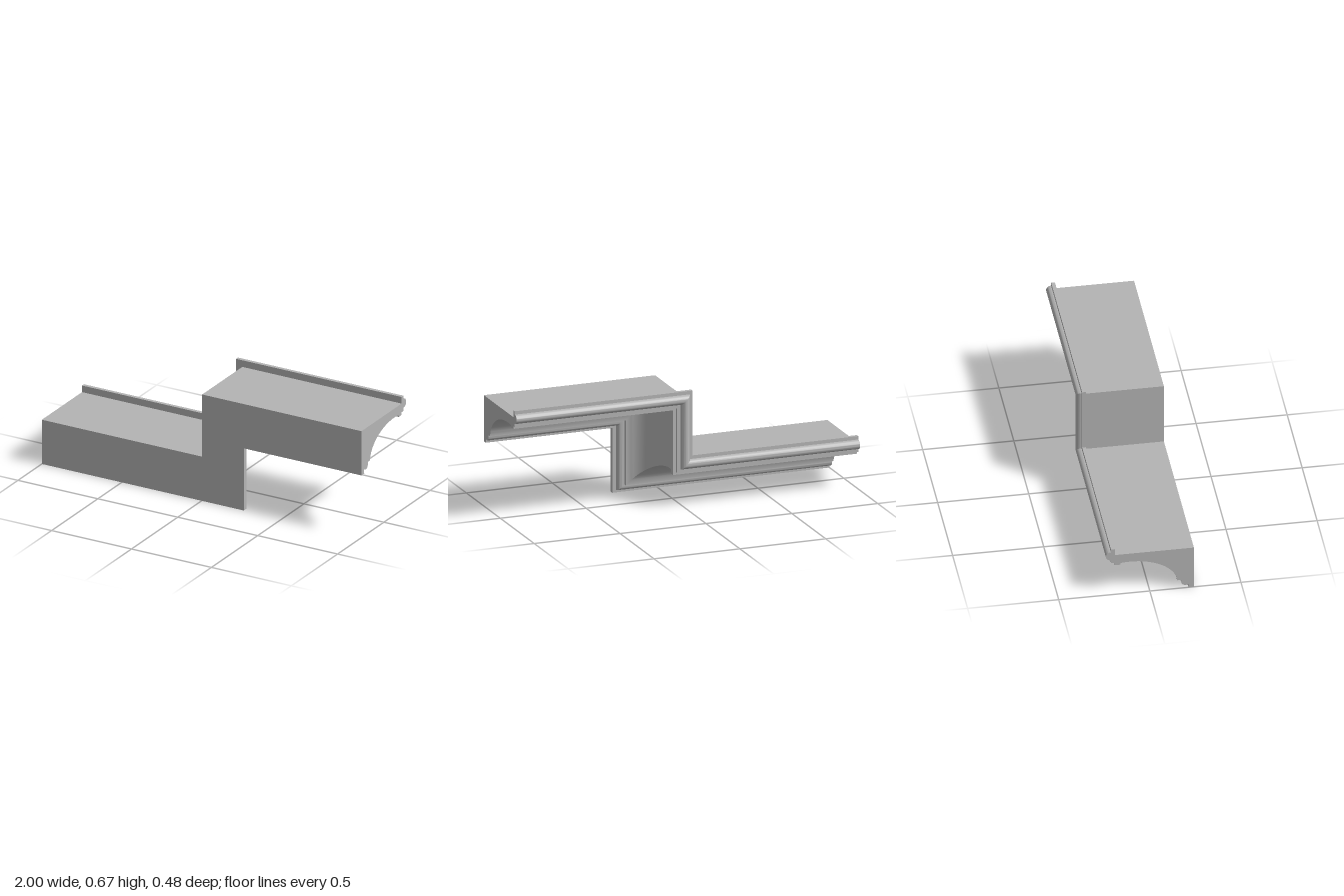
import * as THREE from 'three';
import { toCreasedNormals } from 'three/addons/utils/BufferGeometryUtils.js';

// Points along an elliptical arc as [z, height]
function arc(cz, cu, rz, ru, from, to, steps) {
  return Array.from({ length: steps + 1 }, (_, i) => {
    const a = THREE.MathUtils.degToRad(from + (to - from) * i / steps);
    return [cz + rz * Math.cos(a), cu + ru * Math.sin(a)];
  });
}

// Moulding cross-section: front foot, lower bead, cove, fillets, upper bead, lip
const profile = [
  [0.242, 0], [0.212, 0],
  ...arc(0.196, 0.042, 0.024, 0.024, -48, -192, 14),
  [0.172, 0.054], [0.15, 0.054],
  ...arc(-0.11, 0.045, 0.2605, 0.163, 4, 101, 32),
  [-0.161, 0.194], [-0.192, 0.194], [-0.192, 0.21], [-0.213, 0.21],
  ...arc(-0.215, 0.255, 0.026, 0.026, 274, 86, 18),
  [-0.213, 0.3], [-0.192, 0.3], [-0.192, 0.261], [0.242, 0.261],
];

// Mitred stations of the stepped path: lower run, riser, upper run
const rise = 0.367;
const stations = [
  ([z, u]) => [-1, u, z],
  ([z, u]) => [0.264 - u, u, z],
  ([z, u]) => [0.264 - u, rise + u, z],
  ([z, u]) => [1, rise + u, z],
];

function mouldingGeometry() {
  const positions = [];
  const add = (...pts) => pts.forEach((p) => positions.push(...p));
  const n = profile.length;

  // Swept skin
  for (let s = 0; s < stations.length - 1; s++) {
    const here = stations[s], next = stations[s + 1];
    for (let i = 0; i < n; i++) {
      const p = profile[i], q = profile[(i + 1) % n];
      add(here(p), next(q), next(p));
      add(here(p), here(q), next(q));
    }
  }

  // Flat end caps
  const contour = profile.map(([z, u]) => new THREE.Vector2(-z, u));
  const first = stations[0], last = stations[stations.length - 1];
  for (const [a, b, c] of THREE.ShapeUtils.triangulateShape(contour, [])) {
    add(last(profile[a]), last(profile[b]), last(profile[c]));
    add(first(profile[a]), first(profile[c]), first(profile[b]));
  }

  const geometry = new THREE.BufferGeometry();
  geometry.setAttribute('position', new THREE.Float32BufferAttribute(positions, 3));
  return toCreasedNormals(geometry, THREE.MathUtils.degToRad(32));
}

export function createModel() {
  const plaster = new THREE.MeshStandardMaterial({ color: 0xb4b4b4 });
  plaster.name = 'grey plaster';
  const moulding = new THREE.Mesh(mouldingGeometry(), plaster);
  moulding.name = 'steppedMoulding';
  const group = new THREE.Group();
  group.name = 'steppedCornice';
  group.add(moulding);
  return group;
}
